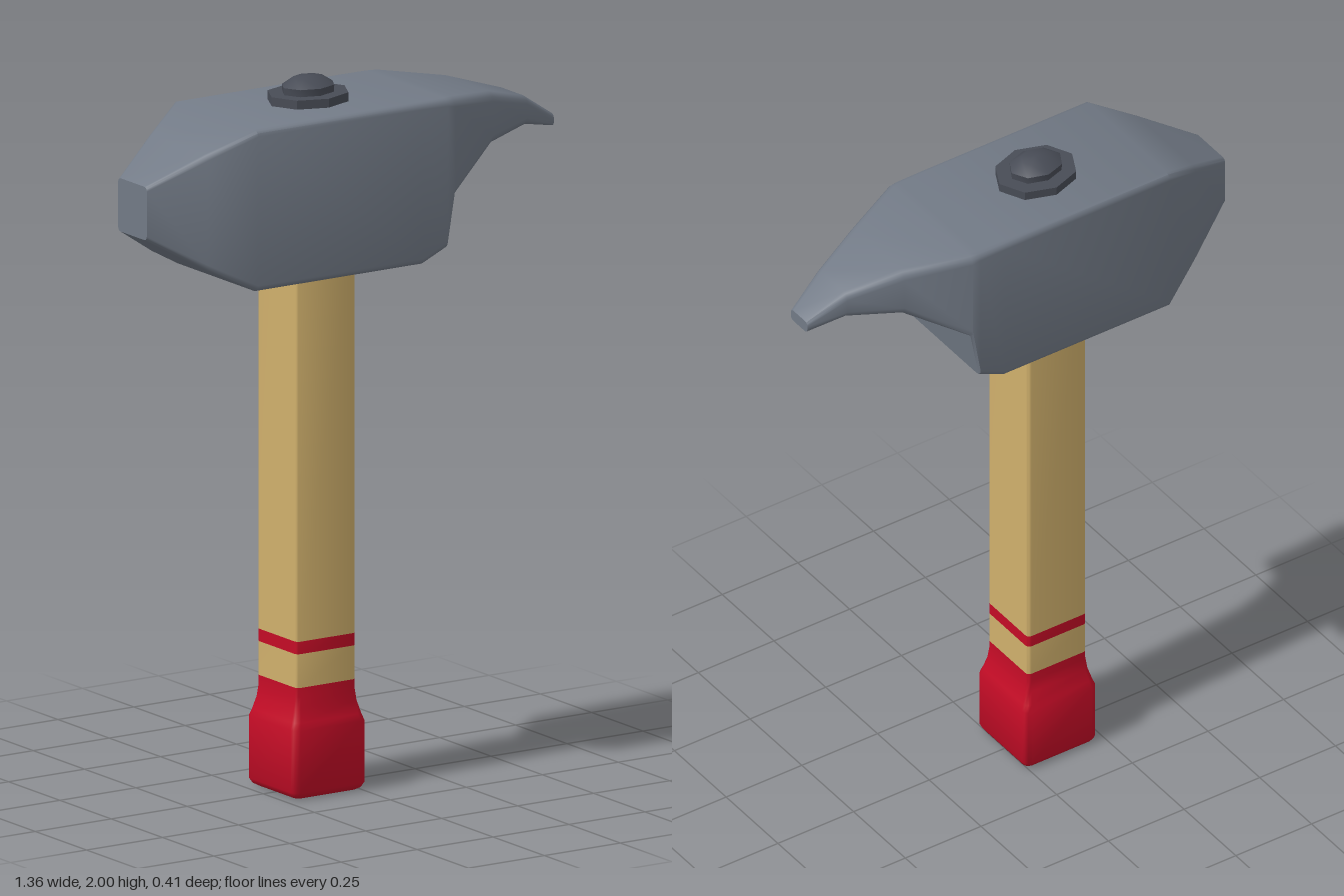
import * as THREE from 'three';
import { toCreasedNormals } from 'three/addons/utils/BufferGeometryUtils.js';

const CORNER = 3; // segments per rounded corner

// Skin rounded rectangles along an axis ('x': u=y, v=z; 'y': u=z, v=x).
// Each section: [position, centreU, centreV, halfU, halfV, cornerRadius]
function loft(axis, sections, crease) {
  const pos = [], idx = [];
  const put = (t, u, v) => pos.push(...(axis === 'x' ? [t, u, v] : [v, t, u]));
  const n = 4 * (CORNER + 1);
  for (const [t, cu, cv, hu, hv, r] of sections) {
    for (let q = 0; q < 4; q++) {
      const su = q === 0 || q === 3 ? 1 : -1, sv = q < 2 ? 1 : -1;
      for (let k = 0; k <= CORNER; k++) {
        const a = (q + k / CORNER) * Math.PI / 2;
        put(t, cu + su * (hu - r) + r * Math.cos(a), cv + sv * (hv - r) + r * Math.sin(a));
      }
    }
  }
  const last = (sections.length - 1) * n;
  const c0 = pos.length / 3;
  for (const s of [sections[0], sections[sections.length - 1]]) put(s[0], s[1], s[2]);
  for (let j = 0; j < n; j++) {
    const k = (j + 1) % n;
    for (let i = 0; i < last; i += n) {
      idx.push(i + j, i + k, i + n + k, i + j, i + n + k, i + n + j);
    }
    idx.push(c0, k, j, c0 + 1, last + j, last + k);
  }
  const g = new THREE.BufferGeometry();
  g.setAttribute('position', new THREE.Float32BufferAttribute(pos, 3));
  g.setIndex(idx);
  return toCreasedNormals(g, crease);
}

export function createModel() {
  const group = new THREE.Group();
  const mat = (name, color) => {
    const m = new THREE.MeshStandardMaterial({ color });
    m.name = name;
    return m;
  };
  const steel = mat('steel', 0x727a86);
  const darkSteel = mat('dark steel', 0x484c56);
  const wood = mat('wood', 0xd0b06c);
  const red = mat('red paint', 0xc40c26);
  const add = (name, geometry, material) => {
    const mesh = new THREE.Mesh(geometry, material);
    mesh.name = name;
    group.add(mesh);
    return mesh;
  };
  const CX = -0.107; // handle axis

  // Head: blunt tapered face on -x, hooked beak on +x
  // [x, bottom, top, half depth, corner radius]
  const head = [
    [-0.68, 1.63, 1.78, 0.07, 0.012],
    [-0.53, 1.54, 1.865, 0.145, 0.016],
    [-0.405, 1.475, 1.93, 0.205, 0.018],
    [0.14, 1.475, 1.93, 0.205, 0.018],
    [0.22, 1.51, 1.93, 0.205, 0.02],
    [0.245, 1.65, 1.93, 0.204, 0.025],
    [0.42, 1.76, 1.905, 0.13, 0.025],
    [0.57, 1.78, 1.86, 0.073, 0.02],
    [0.68, 1.755, 1.79, 0.04, 0.012],
  ].map(([x, b, t, h, r]) => [x, (b + t) / 2, 0, (t - b) / 2, h, r]);
  add('head', loft('x', head, 0.75), steel);

  // Square handle with a painted band and a swollen grip
  const column = (rows) => rows.map(([y, h, r]) => [y, 0, CX, h, h, r]);
  const H = 0.0975, R = 0.012;
  add('gripCap', loft('y', column([
    [0, 0.1, 0.015], [0.007, 0.112, 0.018], [0.02, 0.119, 0.02],
    [0.195, 0.119, 0.02], [0.215, 0.112, 0.018], [0.25, 0.102, 0.014],
    [0.285, H, R], [0.31, H, R],
  ]), 0.9), red);
  add('lowerHandle', loft('y', column([[0.31, H, R], [0.405, H, R]]), 0.9), wood);
  add('handleBand', loft('y', column([[0.405, H, R], [0.44, H, R]]), 0.9), red);
  add('handle', loft('y', column([[0.44, H, R], [1.6, H, R]]), 0.9), wood);

  // Octagonal washer and domed bolt, slightly narrower front to back
  const turned = (name, points, crease, sz) => {
    const g = new THREE.LatheGeometry(points.map(([x, y]) => new THREE.Vector2(x, y)), 8);
    g.scale(1, 1, sz);
    g.translate(-0.102, 0, 0);
    add(name, toCreasedNormals(g, crease), darkSteel);
  };
  turned('washer', [[0, 1.92], [0.12, 1.92], [0.12, 1.955], [0, 1.955]], 0.5, 0.84);
  turned('bolt', [[0, 1.95], [0.078, 1.95], [0.08, 1.975], [0.045, 1.997], [0, 2]], 0.85, 0.78);

  return group;
}
